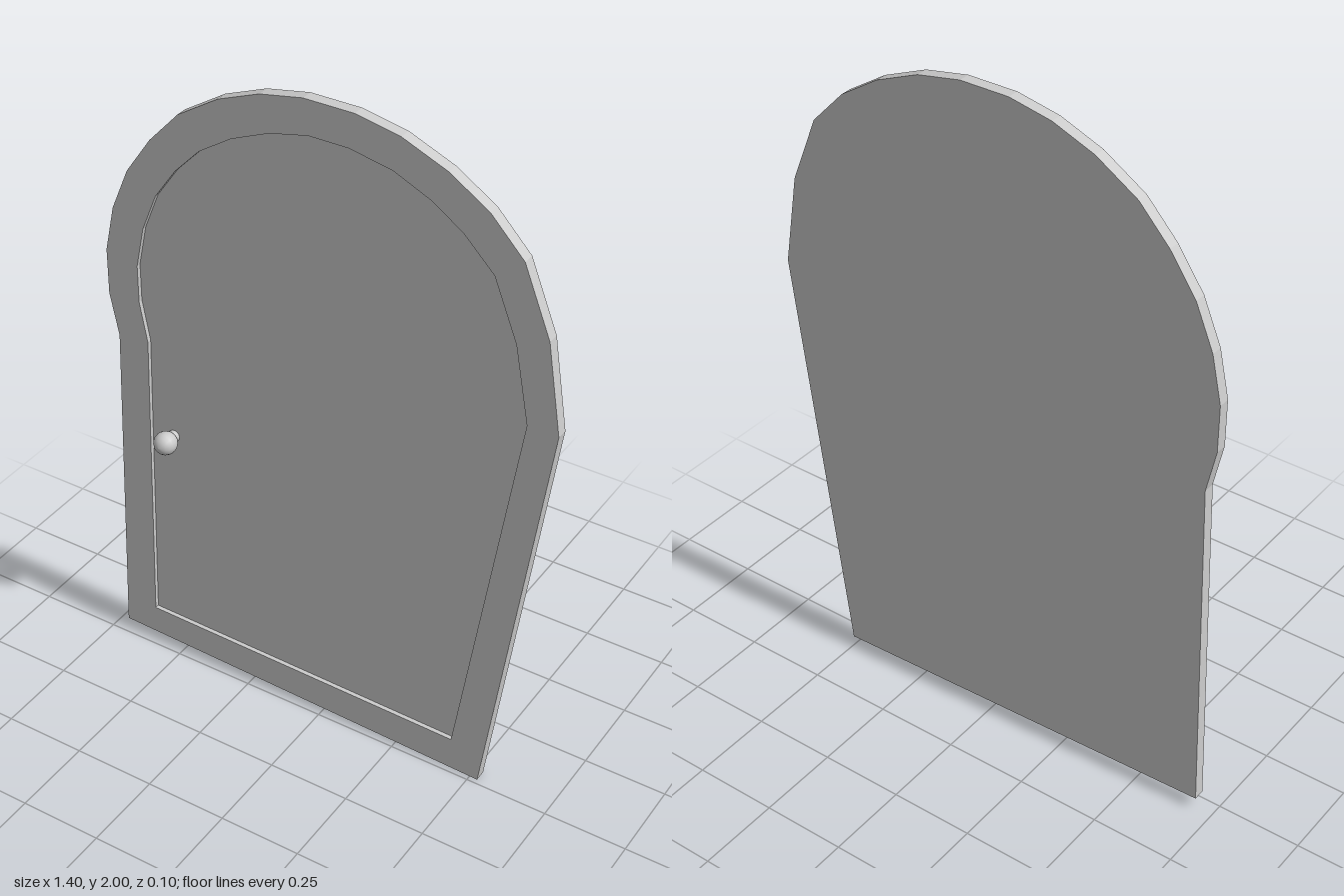
import * as THREE from 'three';

const BACK = -0.05, FRONT = -0.015, RECESS = -0.028;

// Crooked door outline, clockwise from the bottom corner on the knob side
const OUTER = [
  [-0.7, 0.04], [-0.668, 1.09], [-0.695, 1.22], [-0.695, 1.36], [-0.665, 1.5], [-0.61, 1.63],
  [-0.53, 1.745], [-0.437, 1.845], [-0.31, 1.925], [-0.183, 1.975], [-0.055, 2], [0.093, 2],
  [0.225, 1.975], [0.358, 1.92], [0.475, 1.845], [0.575, 1.74], [0.655, 1.54], [0.698, 1.27], [0.525, 0],
];
// Matching outline of the recessed panel
const INNER = [
  [-0.593, 0.13], [-0.57, 1.1], [-0.593, 1.225], [-0.593, 1.34], [-0.567, 1.465], [-0.52, 1.58],
  [-0.453, 1.675], [-0.374, 1.757], [-0.273, 1.823], [-0.156, 1.873], [-0.04, 1.9], [0.077, 1.9],
  [0.204, 1.876], [0.315, 1.826], [0.405, 1.765], [0.495, 1.675], [0.565, 1.5], [0.608, 1.272], [0.435, 0.11],
];

// Counter-clockwise loop of 3D points at one depth
const loop = (pts, z) => pts.map(([x, y]) => [x, y, z]).reverse();

function geometryFrom(positions) {
  const g = new THREE.BufferGeometry();
  g.setAttribute('position', new THREE.Float32BufferAttribute(positions, 3));
  g.computeVertexNormals();
  return g;
}

// Joins successive loops with flat quads
function loft(loops) {
  const pos = [];
  for (let k = 0; k < loops.length - 1; k++) {
    const p = loops[k], q = loops[k + 1];
    for (let i = 0; i < p.length; i++) {
      const j = (i + 1) % p.length;
      for (const v of [p[i], p[j], q[j], p[i], q[j], q[i]]) pos.push(...v);
    }
  }
  return geometryFrom(pos);
}

// Flat filled outline facing front or back
function cap(pts, z, facesBack = false) {
  const g = new THREE.ShapeGeometry(new THREE.Shape(pts.map(([x, y]) => new THREE.Vector2(x, y))));
  if (facesBack) g.rotateY(Math.PI).scale(1, 1, 1);
  return g.translate(0, 0, z);
}

export function createModel() {
  const door = new THREE.Group();
  door.name = 'door';
  const material = new THREE.MeshStandardMaterial({ color: 0xcccccc });
  const add = (name, geometry) => {
    const mesh = new THREE.Mesh(geometry, material);
    mesh.name = name;
    door.add(mesh);
    return mesh;
  };

  // Raised border: outer edge, front face and step down to the panel
  add('frame', loft([loop(OUTER, BACK), loop(OUTER, FRONT), loop(INNER, FRONT), loop(INNER, RECESS)]));
  add('panel', cap(INNER, RECESS));
  // Mirrored before turning so the back keeps the same silhouette
  add('backFace', cap(OUTER.map(([x, y]) => [-x, y]), BACK, true));

  // Round knob on a short stem, turned about the z axis
  const R = 0.035;
  const profile = [[0.018, -0.044], [0.018, -0.028]];
  for (let i = 0; i <= 8; i++) {
    const a = -1.02 + (i / 8) * (Math.PI / 2 + 1.02);
    profile.push([Math.max(0, R * Math.cos(a)), R * Math.sin(a)]);
  }
  const knobGeometry = new THREE.LatheGeometry(profile.map(([r, h]) => new THREE.Vector2(r, h)), 16);
  const knob = add('knob', knobGeometry.rotateX(Math.PI / 2));
  knob.position.set(-0.503, 0.8, 0.015);

  return door;
}
